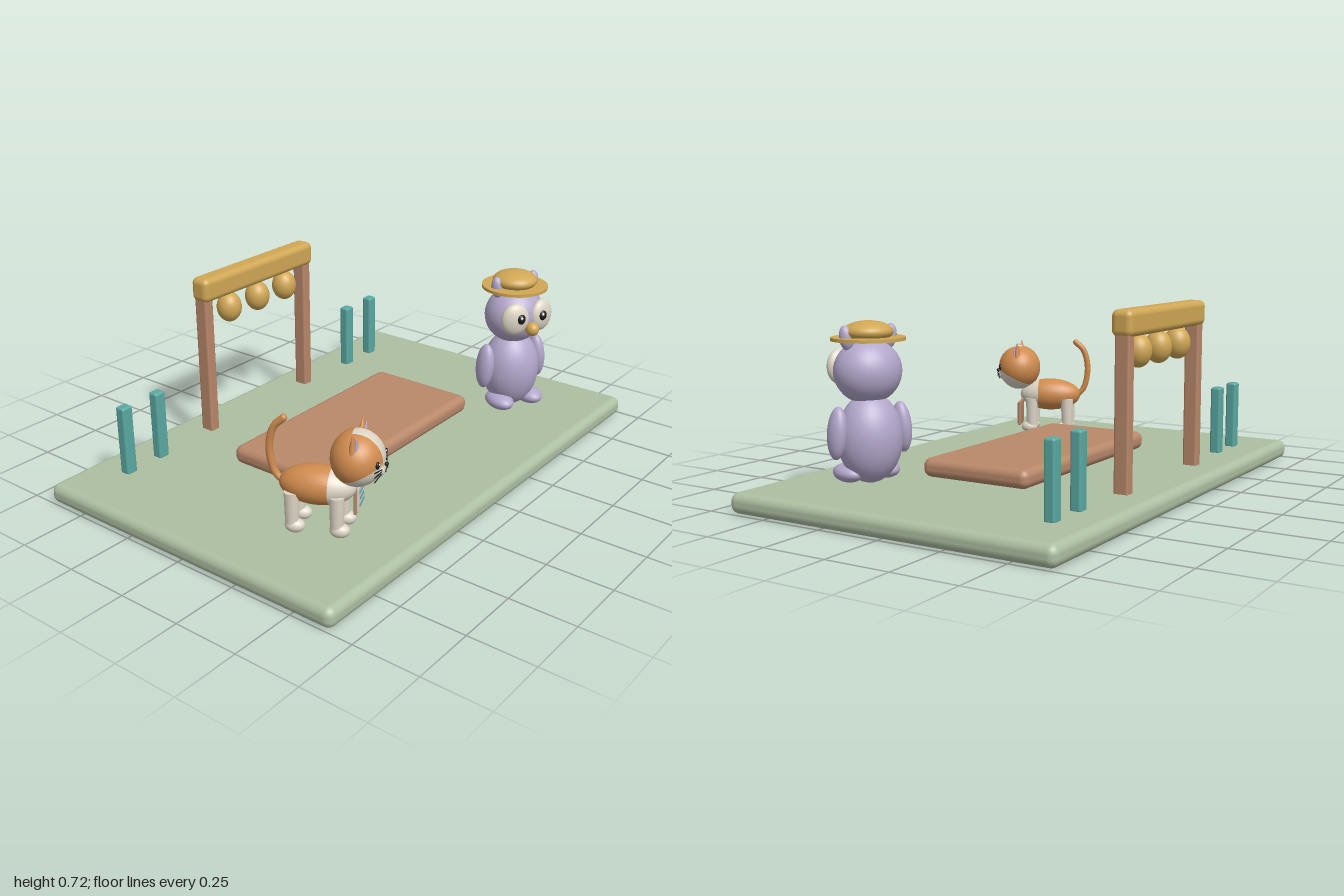
import * as THREE from 'three';
import { RoundedBoxGeometry } from 'three/addons/geometries/RoundedBoxGeometry.js';

const mat = (name, color, side = THREE.FrontSide) => {
  const m = new THREE.MeshStandardMaterial({ color, side });
  m.name = name;
  return m;
};

export function createModel() {
  const sage = mat('sage', 0xadbfa2), brown = mat('brown', 0xb9886a), gold = mat('gold', 0xd0a755);
  const teal = mat('teal', 0x5aa9a3), lilac = mat('lilac', 0xb3a7cb), orange = mat('orange', 0xd08b4e);
  const cream = mat('cream', 0xddd5c6), black = mat('black', 0x1c1a1a), white = mat('white', 0xf7f5f0);

  const add = (parent, name, geo, material, x = 0, y = 0, z = 0) => {
    const m = new THREE.Mesh(geo, material);
    m.name = name;
    m.position.set(x, y, z);
    parent.add(m);
    return m;
  };
  const box = (p, name, material, size, pos, r) =>
    add(p, name, new RoundedBoxGeometry(...size, 4, r), material, ...pos);
  const ball = (p, name, material, radii, pos) =>
    add(p, name, new THREE.SphereGeometry(1, 32, 20).scale(...radii), material, ...pos);
  const rod = (p, name, material, a, b, r0, r1 = r0) => {
    const A = new THREE.Vector3(...a), B = new THREE.Vector3(...b);
    const dir = B.clone().sub(A), mid = A.clone().add(B).multiplyScalar(0.5);
    const m = add(p, name, new THREE.CylinderGeometry(r1, r0, dir.length(), 12), material, mid.x, mid.y, mid.z);
    m.quaternion.setFromUnitVectors(new THREE.Vector3(0, 1, 0), dir.normalize());
    return m;
  };
  const sub = (p, name, x, z, yaw) => {
    const g = new THREE.Group();
    g.name = name;
    g.position.set(x, 0, z);
    g.rotation.y = yaw;
    p.add(g);
    return g;
  };

  const root = new THREE.Group();
  root.name = 'playground';

  // Ground slab and low stage
  box(root, 'ground', sage, [2, 0.077, 1.33], [0, 0.0385, 0], 0.032);
  box(root, 'stage', brown, [0.935, 0.072, 0.455], [-0.003, 0.119, -0.005], 0.03);

  // Frame with hanging bells
  for (const x of [-0.295, 0.29])
    box(root, 'framePost', brown, [0.045, 0.57, 0.057], [x, 0.355, -0.523], 0.008);
  box(root, 'frameBeam', gold, [0.645, 0.096, 0.082], [-0.003, 0.672, -0.521], 0.024);
  for (const x of [-0.168, -0.003, 0.163])
    ball(root, 'bell', gold, [0.05, 0.061, 0.05], [x, 0.566, -0.512]);

  // Teal posts
  for (const x of [-0.75, -0.585, 0.58, 0.748])
    box(root, 'marker', teal, [0.048, 0.275, 0.042], [x, 0.209, -0.507], 0.009);

  // Owl
  const owl = sub(root, 'owl', 0.64, 0.315, -0.42);
  ball(owl, 'owlBody', lilac, [0.12, 0.163, 0.11], [0, 0.25, 0]);
  ball(owl, 'owlHead', lilac, [0.125, 0.117, 0.112], [0, 0.49, 0.008]);
  for (const s of [-1, 1]) {
    ball(owl, 'wing', lilac, [0.034, 0.095, 0.044], [s * 0.128, 0.278, 0]).rotation.z = s * 0.08;
    ball(owl, 'owlFoot', lilac, [0.05, 0.034, 0.075], [s * 0.072, 0.125, 0.035]);
    ball(owl, 'earTuft', lilac, [0.025, 0.046, 0.025], [s * 0.085, 0.612, 0]).rotation.z = -s * 0.15;
    ball(owl, 'eyeDisc', cream, [0.058, 0.066, 0.03], [s * 0.063, 0.503, 0.1]).rotation.y = s * 0.25;
    ball(owl, 'pupil', black, [0.018, 0.021, 0.012], [s * 0.052, 0.51, 0.128]);
    ball(owl, 'eyeGlint', white, [0.006, 0.006, 0.004], [s * 0.052 - 0.005, 0.518, 0.139]);
  }
  ball(owl, 'beak', gold, [0.027, 0.028, 0.03], [0, 0.462, 0.133]);

  // Straw hat
  add(owl, 'hatBrim', new THREE.CylinderGeometry(0.133, 0.133, 0.012, 48), gold, 0, 0.607, 0);
  ball(owl, 'hatCrown', gold, [0.09, 0.039, 0.09], [0, 0.632, 0]);

  // Cat body: orange back, cream chest
  const cat = sub(root, 'cat', -0.635, 0.32, 0.42);
  const split = 1.2, radii = [0.072, 0.07, 0.135];
  const bodyPart = (name, m, start, len) =>
    add(cat, name, new THREE.SphereGeometry(1, 32, 20, 0, Math.PI * 2, start, len)
      .rotateX(Math.PI / 2).scale(...radii), m, 0, 0.25, 0);
  bodyPart('chest', cream, 0, split);
  bodyPart('back', orange, split, Math.PI - split);

  // Legs and paws
  for (const s of [-1, 1]) for (const z of [-0.08, 0.078]) {
    rod(cat, 'leg', cream, [s * 0.045, 0.11, z], [s * 0.045, 0.235, z], 0.024, 0.027);
    ball(cat, 'paw', cream, [0.028, 0.026, 0.036], [s * 0.045, 0.107, z + 0.01]);
  }

  // Tail
  const tail = new THREE.CatmullRomCurve3([
    [0, 0.24, -0.11], [0, 0.28, -0.15], [0, 0.37, -0.168], [0, 0.45, -0.15], [0, 0.486, -0.115],
  ].map(p => new THREE.Vector3(...p)));
  add(cat, 'tail', new THREE.TubeGeometry(tail, 32, 0.013, 10), orange);
  ball(cat, 'tailTip', orange, [0.013, 0.013, 0.013], [0, 0.486, -0.115]);

  // Cat head: orange cap, cream lower face, pale forehead blaze
  const head = new THREE.Group();
  head.name = 'catHead';
  head.position.set(0, 0.37, 0.14);
  cat.add(head);
  const hr = [0.106, 0.098, 0.093], cut = Math.PI / 2 + 0.45;
  const headPart = (name, m, start, len) =>
    add(head, name, new THREE.SphereGeometry(1, 32, 20, 0, Math.PI * 2, start, len)
      .rotateX(-0.45).scale(...hr), m);
  headPart('headCap', orange, 0, cut);
  headPart('lowerFace', cream, cut, Math.PI - cut);
  add(head, 'blaze', new THREE.SphereGeometry(1.012, 24, 6, Math.PI / 2, Math.PI * 0.55, Math.PI / 2 - 0.24, 0.48)
    .rotateZ(Math.PI / 2).scale(...hr), cream);

  // Face and ears
  ball(head, 'nose', black, [0.009, 0.007, 0.007], [0, -0.014, 0.098]);
  for (const s of [-1, 1]) {
    ball(head, 'muzzle', cream, [0.026, 0.02, 0.018], [s * 0.019, -0.03, 0.079]);
    ball(head, 'catEye', black, [0.011, 0.014, 0.008], [s * 0.053, 0.004, 0.078]);
    ball(head, 'catGlint', white, [0.003, 0.003, 0.003], [s * 0.053 - 0.003, 0.009, 0.085]);
    rod(head, 'mouth', black, [0, -0.022, 0.099], [s * 0.017, -0.036, 0.098], 0.002);
    for (const k of [-1, 0, 1])
      rod(head, 'whisker', black, [s * 0.04, -0.024 + k * 0.007, 0.09], [s * 0.092, -0.022 + k * 0.017, 0.078], 0.002);
    const ear = add(head, 'ear', new THREE.ConeGeometry(0.036, 0.075, 20).scale(1, 1, 0.55), orange, s * 0.069, 0.082, 0);
    ear.rotation.z = -s * 0.25;
    add(ear, 'innerEar', new THREE.ConeGeometry(0.026, 0.058, 20).scale(1, 1, 0.45), lilac, 0, -0.006, 0.012);
  }

  // Note board with ruled lines beside the front paw
  const board = new THREE.Group();
  board.name = 'noteBoard';
  board.position.set(0.083, 0.18, 0.122);
  cat.add(board);
  box(board, 'boardBack', brown, [0.106, 0.106, 0.012], [0, 0, 0], 0.004);
  box(board, 'paper', cream, [0.092, 0.092, 0.008], [0.002, 0, 0.007], 0.002);
  for (const [y, w] of [[0.025, 0.066], [0, 0.05], [-0.025, 0.066]])
    add(board, 'ruledLine', new THREE.BoxGeometry(w, 0.007, 0.004), teal, 0.002, y, 0.012);

  return root;
}
